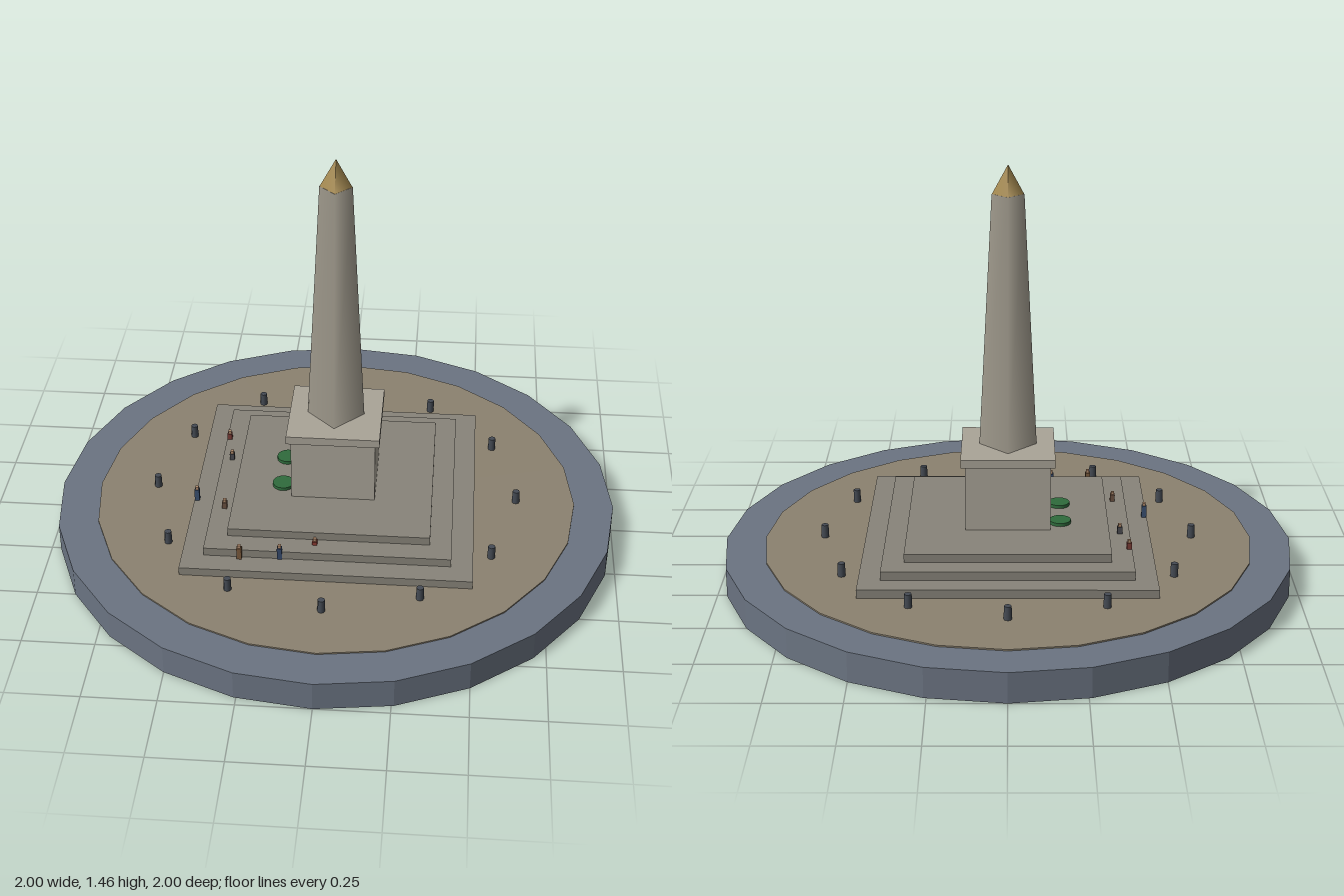
import * as THREE from 'three';

const mat = (color, flatShading = false) => {
  const m = new THREE.MeshStandardMaterial({ flatShading });
  m.color.set(color);
  return m;
};

export function createModel() {
  const model = new THREE.Group();

  // Adds a mesh whose underside rests at height y
  const add = (name, geometry, material, x, y, z, parent = model) => {
    geometry.computeBoundingBox();
    const mesh = new THREE.Mesh(geometry, material);
    mesh.name = name;
    mesh.position.set(x, y - geometry.boundingBox.min.y, z);
    parent.add(mesh);
    return mesh;
  };
  const box = (w, h, d = w) => new THREE.BoxGeometry(w, h, d);
  const cyl = (top, bottom, h, sides) => new THREE.CylinderGeometry(top, bottom, h, sides);

  const stone = mat(0x88847a);
  const paleStone = mat(0xaaa498);
  const iron = mat(0x454b54);
  const green = mat(0x2f6b3c);

  // Round island and gravel top
  add('island', cyl(1, 1, 0.105, 24), mat(0x6b7482, true), 0, 0, 0);
  add('gravel', cyl(0.86, 0.86, 0.01, 24), mat(0x8c8270, true), 0, 0.1, 0);

  // Three square steps
  [1.0, 0.85, 0.7].forEach((w, i) => add('step', box(w, 0.03), stone, 0, 0.11 + i * 0.03, 0));

  // Pedestal with its cap
  add('pedestal', box(0.295, 0.235), paleStone, 0, 0.2, 0);
  add('pedestalCap', box(0.325, 0.03), paleStone, 0, 0.435, 0);

  // Four-sided tapering shaft, corners on the axes, with a gilded point
  add('shaft', cyl(0.055, 0.1, 0.89, 4), mat(0xa8a294), 0, 0.465, 0);
  add('goldTip', new THREE.ConeGeometry(0.054, 0.1, 4), mat(0xa88c50), 0, 1.355, 0);

  // Ring of bollards
  for (let i = 0; i < 12; i++) {
    const a = (i * Math.PI) / 6;
    add('bollard', cyl(0.0125, 0.0135, 0.047, 8), iron, 0.65 * Math.cos(a), 0.11, 0.65 * Math.sin(a));
  }

  // Two wreaths lying beside the pedestal
  for (const z of [-0.08, 0.08]) add('wreath', cyl(0.038, 0.038, 0.012, 16), green, -0.182, 0.2, z);

  // Small visitors on the steps: x, z, floor height, total height, clothes
  const skin = mat(0xb08a6c);
  const visitors = [
    [-0.415, -0.235, 0.17, 0.034, 0x7a3b35],
    [-0.39, -0.105, 0.17, 0.036, 0x4a4a50],
    [-0.49, 0.11, 0.14, 0.055, 0x3a5070],
    [-0.38, 0.19, 0.17, 0.036, 0x6a5040],
    [-0.3, 0.43, 0.14, 0.055, 0x7a5a3c],
    [-0.162, 0.42, 0.14, 0.055, 0x34486a],
    [-0.045, 0.372, 0.17, 0.024, 0x8a3a30],
  ];
  for (const [x, z, y, h, color] of visitors) {
    const visitor = new THREE.Group();
    visitor.name = 'visitor';
    visitor.position.set(x, y, z);
    const headSize = 0.011;
    add('body', box(0.017, h - headSize, 0.018), mat(color), 0, 0, 0, visitor);
    add('head', box(headSize, headSize), skin, 0, h - headSize, 0, visitor);
    model.add(visitor);
  }

  return model;
}
